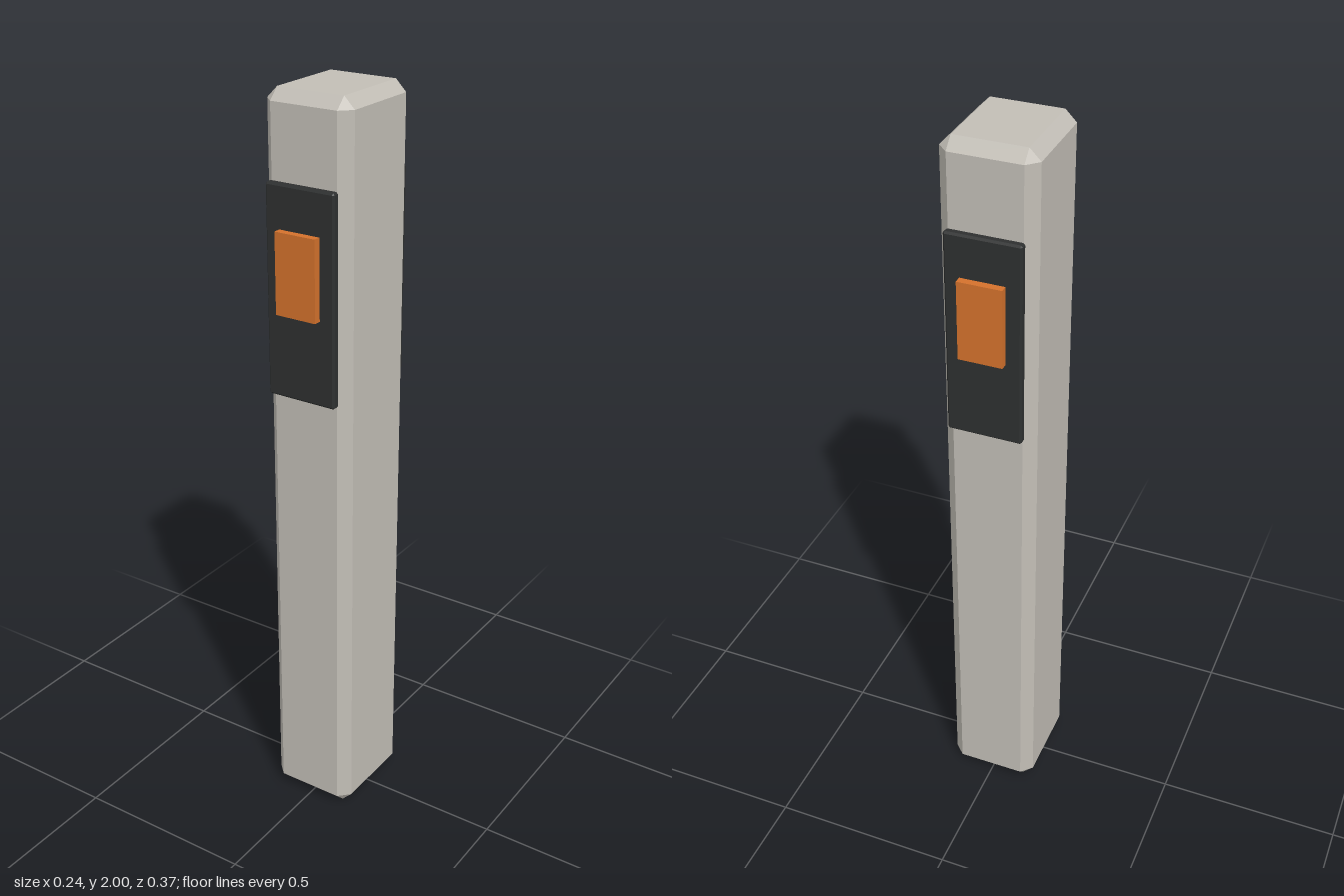
import * as THREE from 'three';
import { ConvexGeometry } from 'three/addons/geometries/ConvexGeometry.js';

// Box with every edge and corner cut at 45 degrees
function chamferedBox(w, h, d, c) {
  const half = [w / 2, h / 2, d / 2];
  const points = [];
  for (const sx of [-1, 1]) for (const sy of [-1, 1]) for (const sz of [-1, 1]) {
    // one point per face meeting at this corner
    for (let axis = 0; axis < 3; axis++) {
      const inset = half.map((v, i) => (i === axis ? v : v - c));
      points.push(new THREE.Vector3(sx * inset[0], sy * inset[1], sz * inset[2]));
    }
  }
  return new ConvexGeometry(points);
}

function part(name, geometry, color, y, z) {
  const material = new THREE.MeshStandardMaterial({ color, flatShading: true });
  const mesh = new THREE.Mesh(geometry, material);
  mesh.name = name;
  mesh.position.set(0, y, z);
  return mesh;
}

export function createModel() {
  const model = new THREE.Group();
  model.name = 'post';

  // Tall chamfered column
  model.add(part('column', chamferedBox(0.244, 2, 0.282, 0.029), 0xc2beb6, 1, 0));

  // Matching dark panel with a raised orange button on front and back
  const panelGeometry = chamferedBox(0.196, 0.545, 0.023, 0.005);
  const buttonGeometry = new THREE.BoxGeometry(0.115, 0.21, 0.023);
  for (const [side, s] of [['front', 1], ['back', -1]]) {
    model.add(part(side + 'Panel', panelGeometry, 0x2e3030, 1.513, s * 0.1515));
    model.add(part(side + 'Button', buttonGeometry, 0xd4722c, 1.57, s * 0.1715));
  }
  return model;
}
